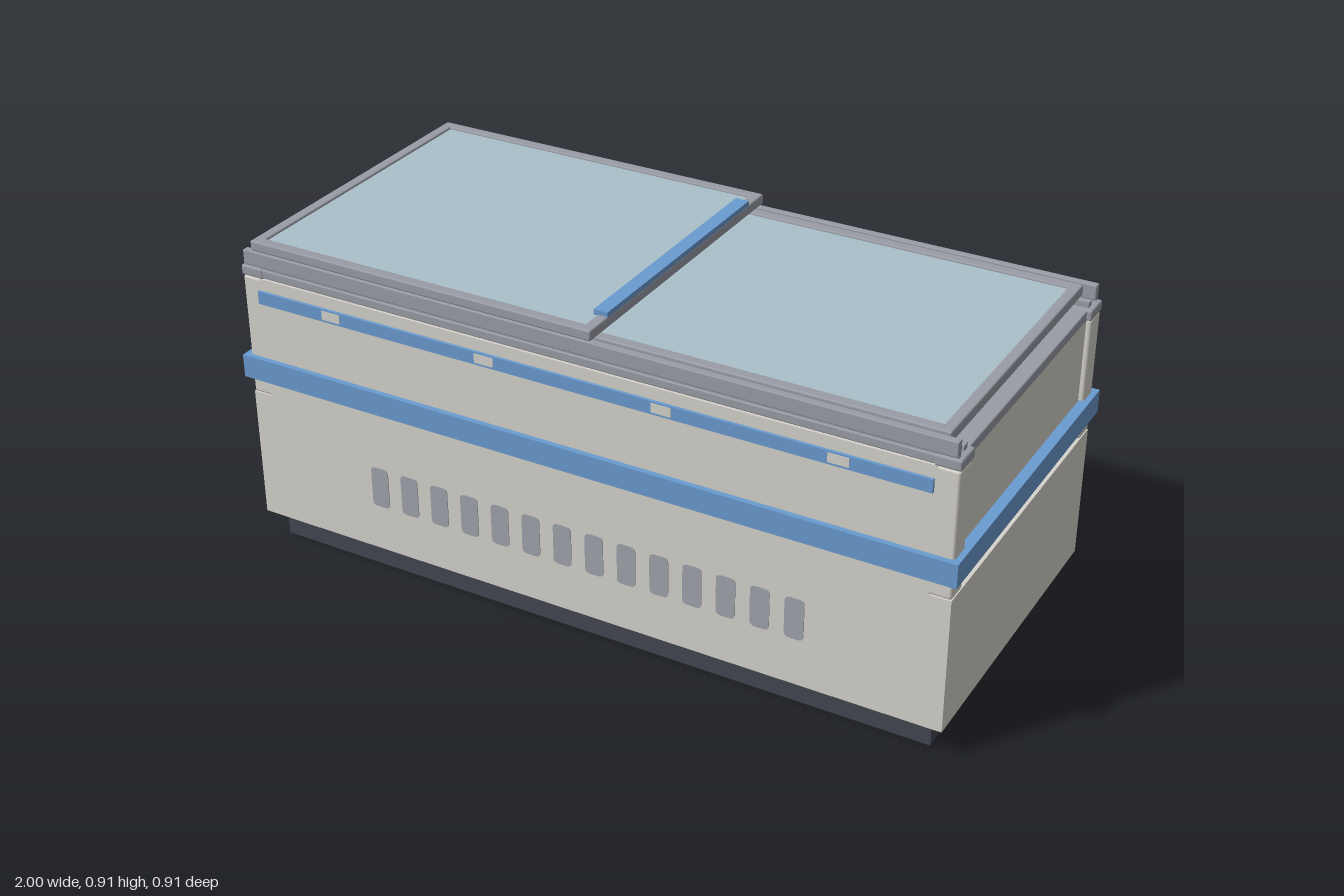
import * as THREE from 'three';
import { RoundedBoxGeometry } from 'three/addons/geometries/RoundedBoxGeometry.js';

const material = (name, color) => {
  const m = new THREE.MeshStandardMaterial({ color });
  m.name = name;
  return m;
};

export function createModel() {
  const shell = material('warm white enamel', 0xd6d3cb);
  const trim = material('grey aluminium', 0x9a9da6);
  const blue = material('blue trim', 0x6a9bd0);
  const dark = material('dark plinth', 0x434751);
  const glass = material('pale blue glass', 0xabc0ca);
  const vent = material('vent grey', 0xa0a4ac);

  const model = new THREE.Group();
  model.name = 'chestFreezer';

  // Box given by its limits on each axis, with optional rounded edges
  function box(name, mat, [x0, x1], [y0, y1], [z0, z1], radius = 0, parent = model) {
    const size = [x1 - x0, y1 - y0, z1 - z0];
    const geo = radius ? new RoundedBoxGeometry(...size, 2, radius) : new THREE.BoxGeometry(...size);
    const mesh = new THREE.Mesh(geo, mat);
    mesh.position.set((x0 + x1) / 2, (y0 + y1) / 2, (z0 + z1) / 2);
    mesh.name = name;
    parent.add(mesh);
    return mesh;
  }
  // Limits from a to b on the chosen side of the centre
  const side = (s, a, b) => (s > 0 ? [a, b] : [-b, -a]);

  // Plinth and lower cabinet
  box('plinth', dark, [-0.945, 0.945], [0, 0.08], [-0.402, 0.402]);
  box('lowerCabinet', shell, [-0.985, 0.985], [0.08, 0.45], [-0.44, 0.44]);

  for (const s of [-1, 1]) {
    // Hollow upper tub: long walls and recessed end panels
    box('longWall', shell, [-0.93, 0.93], [0.45, 0.79], side(s, 0.38, 0.44));
    box('endPanel', shell, side(s, 0.92, 0.972), [0.45, 0.79], [-0.374, 0.374]);

    // Rim around the opening
    box('longRim', trim, [-0.93, 0.93], [0.793, 0.817], side(s, 0.37, 0.44), 0.004);
    box('endRim', trim, side(s, 0.925, 0.975), [0.79, 0.818], [-0.366, 0.366], 0.004);

    // Lid rails
    box('outerRail', trim, [-0.978, 0.975], [0.822, 0.862], side(s, 0.42, 0.44), 0.003);
    box('innerRail', trim, [-0.975, 0.972], [0.817, 0.833], side(s, 0.38, 0.4));
    box('railFoot', trim, [-0.975, 0.975], [0.815, 0.824], side(s, 0.424, 0.436));

    // Corner posts with rim caps
    for (const t of [-1, 1]) {
      box('cornerPost', shell, side(t, 0.92, 0.985), [0.45, 0.79], side(s, 0.378, 0.44), 0.008);
      box('cornerCap', trim, side(t, 0.92, 0.987), [0.79, 0.819], side(s, 0.367, 0.442), 0.006);
    }

    // Blue bumper band
    box('longBumper', blue, [-1, 1], [0.497, 0.561], side(s, 0.438, 0.455));
    box('endBumper', blue, side(s, 0.965, 1), [0.497, 0.561], [-0.44, 0.44]);
  }

  // Ventilation slots on the two long sides
  const slot = new THREE.Shape();
  const w = 0.026, h = 0.058, r = 0.014;
  slot.moveTo(-w, -h + r);
  slot.quadraticCurveTo(-w, -h, -w + r, -h);
  slot.lineTo(w - r, -h);
  slot.quadraticCurveTo(w, -h, w, -h + r);
  slot.lineTo(w, h - r);
  slot.quadraticCurveTo(w, h, w - r, h);
  slot.lineTo(-w + r, h);
  slot.quadraticCurveTo(-w, h, -w, h - r);
  slot.closePath();
  const slotGeo = new THREE.ExtrudeGeometry(slot, { depth: 0.002, bevelEnabled: false, curveSegments: 4 });
  for (const s of [-1, 1]) {
    for (let i = 0; i < 14; i++) {
      const mesh = new THREE.Mesh(slotGeo, vent);
      mesh.name = 'ventSlot';
      mesh.position.set((i - 6.5) * 0.0917, 0.27, s * 0.44);
      if (s < 0) mesh.rotation.y = Math.PI;
      model.add(mesh);
    }
  }

  // Front rail with four clips
  box('frontBar', blue, [-0.93, 0.927], [0.726, 0.761], [0.446, 0.454]);
  for (const x of [-0.703, -0.248, 0.243, 0.698]) {
    box('barClip', shell, [x - 0.027, x + 0.027], [0.732, 0.757], [0.438, 0.4555]);
  }

  // Sliding lid: four frame bars around a glass pane
  function lid(name, [x0, x1], [y0, y1], z, bar) {
    const group = new THREE.Group();
    group.name = name;
    for (const s of [-1, 1]) {
      box('lidLongBar', trim, [x0, x1], [y0, y1], side(s, z - bar, z), 0.005, group);
    }
    box('lidEndBar', trim, [x0, x0 + bar], [y0, y1], [-z + 0.01, z - 0.01], 0.005, group);
    box('lidEndBar', trim, [x1 - bar, x1], [y0, y1], [-z + 0.01, z - 0.01], 0.005, group);
    box('lidGlass', glass, [x0 + 0.02, x1 - 0.02], [y0 + 0.008, y1 - 0.006], [-z + 0.02, z - 0.02], 0, group);
    model.add(group);
  }
  lid('lowerLid', [-0.05, 0.945], [0.834, 0.864], 0.41, 0.03);
  lid('upperLid', [-0.95, 0.047], [0.866, 0.894], 0.442, 0.03);

  // Pull strip on the upper lid
  box('lidHandle', blue, [0.008, 0.046], [0.892, 0.906], [-0.36, 0.36]);

  return model;
}
